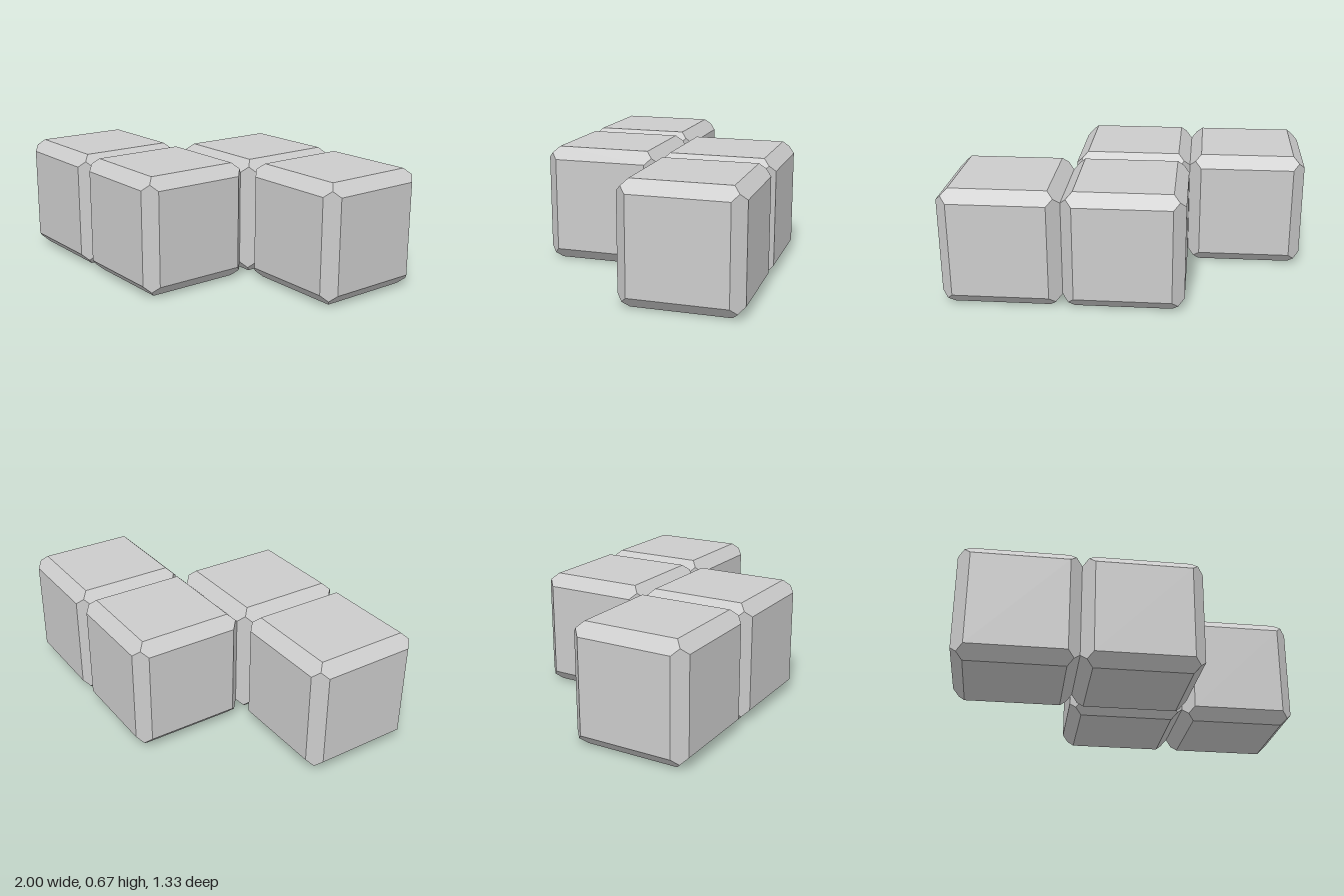
import * as THREE from 'three';
import { ConvexGeometry } from 'three/addons/geometries/ConvexGeometry.js';

const SIZE = 2 / 3;
const BEVEL = SIZE / 10;

// Cube with 45 degree bevels that meet in a mitred point at each corner
function bevelledCube(size, bevel) {
  const h = size / 2, inner = h - bevel, mitre = h - bevel / 2;
  const points = [];
  for (const x of [-1, 1]) for (const y of [-1, 1]) for (const z of [-1, 1]) {
    points.push(
      new THREE.Vector3(x * h, y * inner, z * inner),
      new THREE.Vector3(x * inner, y * h, z * inner),
      new THREE.Vector3(x * inner, y * inner, z * h),
      new THREE.Vector3(x * mitre, y * mitre, z * mitre)
    );
  }
  return new ConvexGeometry(points);
}

export function createModel() {
  const model = new THREE.Group();
  model.name = 'zigzagBlock';
  const material = new THREE.MeshStandardMaterial({ color: 0xcccccc, flatShading: true });
  const geometry = bevelledCube(SIZE, BEVEL);

  // Two rows of two cubes, the back row shifted one cube to the left (+x)
  const cubes = [
    ['frontRightCube', -1, 0.5],
    ['frontMiddleCube', 0, 0.5],
    ['backMiddleCube', 0, -0.5],
    ['backLeftCube', 1, -0.5],
  ];
  for (const [name, column, row] of cubes) {
    const cube = new THREE.Mesh(geometry, material);
    cube.name = name;
    cube.position.set(column * SIZE, SIZE / 2, row * SIZE);
    model.add(cube);
  }
  return model;
}
